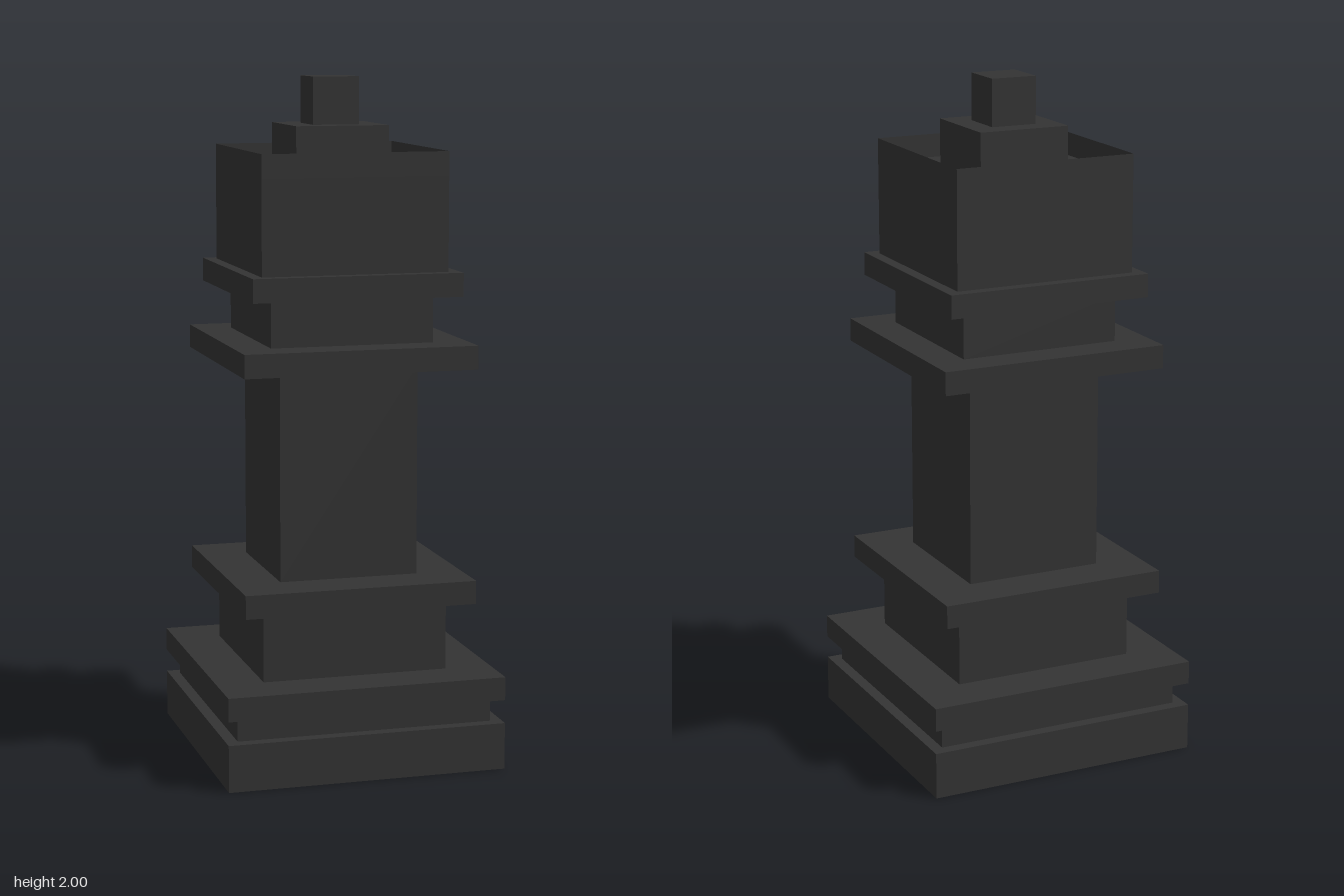
import * as THREE from 'three';

export function createModel() {
  const model = new THREE.Group();
  model.name = 'chessKing';
  const charcoal = new THREE.MeshStandardMaterial({ color: 0x343434, side: THREE.DoubleSide });
  charcoal.name = 'charcoal';

  // The piece sits on a grid 29 units tall
  const u = 2 / 29;

  // Square tiers: name, width, bottom, top (grid units)
  const tiers = [
    ['base', 12, 0, 2],
    ['baseGroove', 11, 2, 3],
    ['baseRim', 12, 3, 4],
    ['pedestal', 8, 4, 7],
    ['lowerCollar', 10, 7, 8],
    ['shaft', 6, 8, 17],
    ['upperCollar', 10, 17, 18],
    ['neck', 7, 18, 20],
    ['headCollar', 9, 20, 21],
    ['head', 8, 21, 25],
    ['crownBlock', 4, 25, 27],
    ['finial', 2, 27, 29],
  ];
  for (const [name, width, bottom, top] of tiers) {
    const tier = new THREE.Mesh(new THREE.BoxGeometry(width * u, (top - bottom) * u, width * u), charcoal);
    tier.name = name;
    tier.position.y = (bottom + top) / 2 * u;
    model.add(tier);
  }

  // Thin upright walls around the recessed top of the head
  const rim = new THREE.Group();
  rim.name = 'headRim';
  for (let i = 0; i < 4; i++) {
    const wall = new THREE.Mesh(new THREE.PlaneGeometry(8 * u, u).translate(0, 25.5 * u, 4 * u), charcoal);
    wall.name = 'rimWall';
    wall.rotation.y = i * Math.PI / 2;
    rim.add(wall);
  }
  model.add(rim);

  return model;
}
